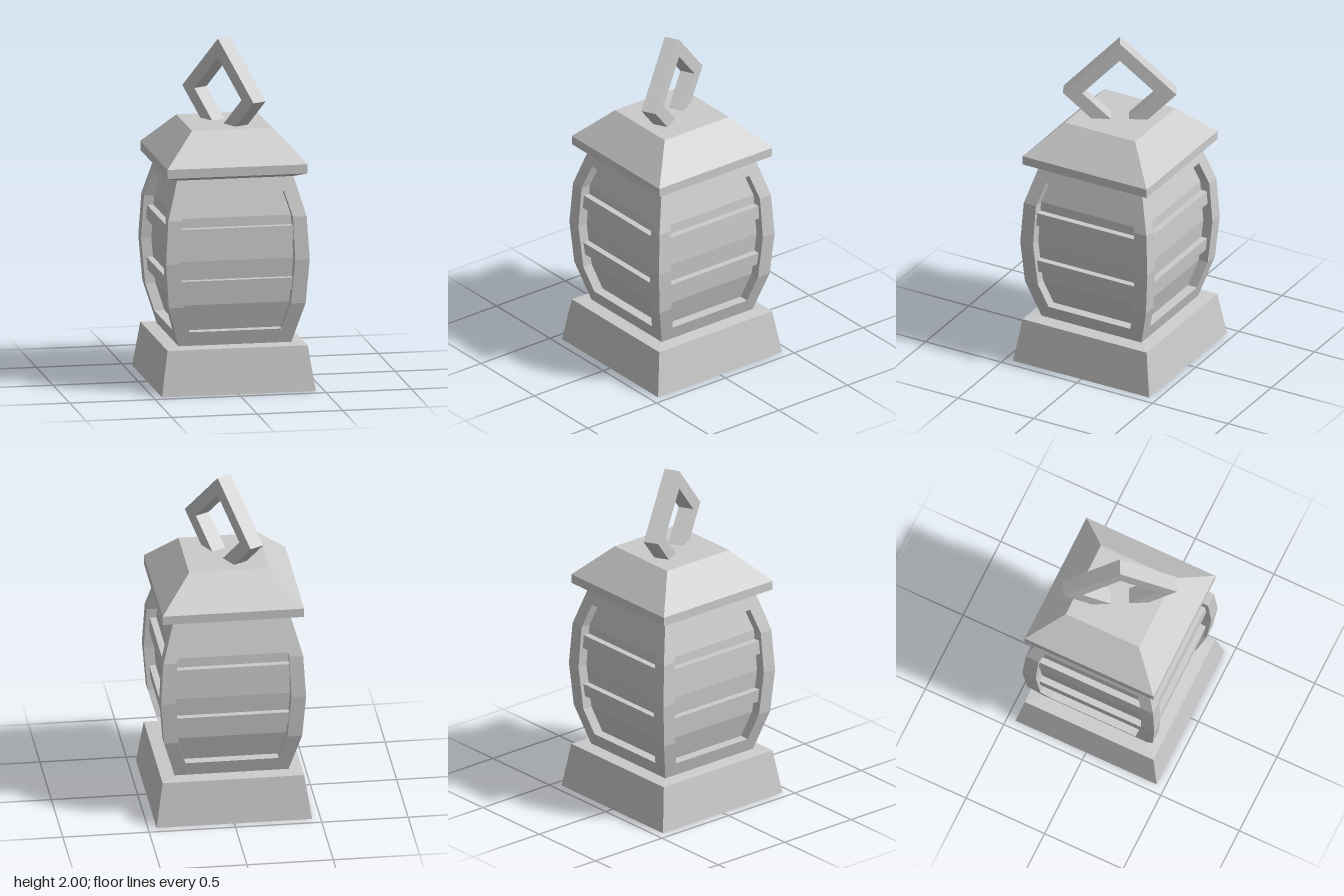
import * as THREE from 'three';

const material = new THREE.MeshStandardMaterial({ color: 0xcccccc, flatShading: true, side: THREE.DoubleSide });

// Bulging body profile: [y, half width]; panel opening: [y, half width]
const BODY = [[0.27, 0.33], [0.51, 0.4], [0.77, 0.42], [1.02, 0.405], [1.245, 0.34]];
const OPENING = [[0.355, 0.27], [0.51, 0.315], [0.77, 0.335], [1.02, 0.325], [1.165, 0.28]];
const ROWS = [0.27, 0.355, 0.51, 0.77, 1.02, 1.165, 1.245];
const RECESS = 0.06;
const SLAT_INSET = 0.022;

// Linear lookup in a [y, value] profile
function lookup(profile, y) {
  if (y <= profile[0][0]) return profile[0][1];
  for (let i = 1; i < profile.length; i++) {
    const [y0, v0] = profile[i - 1];
    const [y1, v1] = profile[i];
    if (y <= y1) return v0 + ((v1 - v0) * (y - y0)) / (y1 - y0);
  }
  return profile[profile.length - 1][1];
}
const half = (y) => lookup(BODY, y);
const open = (y) => lookup(OPENING, y);

function mesh(name, geometry) {
  const m = new THREE.Mesh(geometry, material);
  m.name = name;
  return m;
}

// Geometry from four-cornered faces, corners counter-clockwise
function fromQuads(quads) {
  const pos = [];
  for (const [a, b, c, d] of quads) pos.push(...a, ...b, ...c, ...a, ...c, ...d);
  const g = new THREE.BufferGeometry();
  g.setAttribute('position', new THREE.Float32BufferAttribute(pos, 3));
  g.computeVertexNormals();
  return g;
}

// Square shell from [half width, y] points, bottom to top
function squareShell(name, points) {
  const profile = points.map(([r, y]) => new THREE.Vector2(r * Math.SQRT2, y));
  return mesh(name, new THREE.LatheGeometry(profile, 4, Math.PI / 4).toNonIndexed());
}

// Horizontal strip facing +z between two heights, set back by inset
function strip(y0, y1, inset, width) {
  const z0 = half(y0) - inset, z1 = half(y1) - inset;
  return [[-width(y0), y0, z0], [width(y0), y0, z0], [width(y1), y1, z1], [-width(y1), y1, z1]];
}

// Level face at height y between two insets
function ledge(y, front, back, up) {
  const w = open(y), f = half(y) - front, b = half(y) - back;
  const q = [[-w, y, f], [w, y, f], [w, y, b], [-w, y, b]];
  return up ? q : q.reverse();
}

function frameGeometry() {
  const quads = [];
  for (let i = 0; i < ROWS.length - 1; i++) {
    const y0 = ROWS[i], y1 = ROWS[i + 1];
    const h0 = half(y0), h1 = half(y1);
    if (i === 0 || i === ROWS.length - 2) {
      quads.push(strip(y0, y1, 0, half));
      continue;
    }
    const w0 = open(y0), w1 = open(y1);
    // corner posts
    quads.push([[w0, y0, h0], [h0, y0, h0], [h1, y1, h1], [w1, y1, h1]]);
    quads.push([[-h0, y0, h0], [-w0, y0, h0], [-w1, y1, h1], [-h1, y1, h1]]);
    // side walls of the recess
    quads.push([[w0, y0, h0 - RECESS], [w0, y0, h0], [w1, y1, h1], [w1, y1, h1 - RECESS]]);
    quads.push([[-w0, y0, h0], [-w0, y0, h0 - RECESS], [-w1, y1, h1 - RECESS], [-w1, y1, h1]]);
  }
  quads.push(ledge(0.355, 0, RECESS, true), ledge(1.165, 0, RECESS, false));
  return fromQuads(quads);
}

function panelGeometry() {
  const quads = [];
  for (let i = 1; i < ROWS.length - 2; i++) quads.push(strip(ROWS[i], ROWS[i + 1], RECESS, open));
  return fromQuads(quads);
}

function slatGeometry(y0, y1) {
  return fromQuads([
    strip(y0, y1, SLAT_INSET, open),
    ledge(y1, SLAT_INSET, RECESS, true),
    ledge(y0, SLAT_INSET, RECESS, false),
  ]);
}

// Square outline standing on a corner
function diamond(Type, r) {
  return new Type([[r, 0], [0, r], [-r, 0], [0, -r]].map(([x, y]) => new THREE.Vector2(x, y)));
}

export function createModel() {
  const model = new THREE.Group();
  model.name = 'lantern';

  // Hollow base, open underneath, with a ledge leading to the body
  model.add(squareShell('base', [[0.45, 0], [0.41, 0.263], [0.33, 0.27]]));

  // Four identical body sides
  const frame = frameGeometry();
  const panel = panelGeometry();
  const slats = [[0.585, 0.66], [0.885, 0.965]].map(([a, b]) => slatGeometry(a, b));
  for (let i = 0; i < 4; i++) {
    const side = new THREE.Group();
    side.name = 'bodySide';
    side.add(mesh('frame', frame), mesh('panel', panel));
    slats.forEach((g) => side.add(mesh('slat', g)));
    side.rotation.y = (i * Math.PI) / 2;
    model.add(side);
  }

  // Roof with eaves and a flat top
  model.add(squareShell('roof', [[0.34, 1.245], [0.41, 1.272], [0.41, 1.325], [0.233, 1.51], [0, 1.51]]));

  // Diamond hanging ring, turned about the vertical
  const outline = diamond(THREE.Shape, 0.326);
  outline.holes.push(diamond(THREE.Path, 0.216));
  const ringGeometry = new THREE.ExtrudeGeometry(outline, { depth: 0.09, bevelEnabled: false });
  ringGeometry.translate(0, 0, -0.045);
  const ring = mesh('hangingRing', ringGeometry);
  ring.position.y = 1.674;
  ring.rotation.y = -1.085;
  model.add(ring);

  return model;
}
